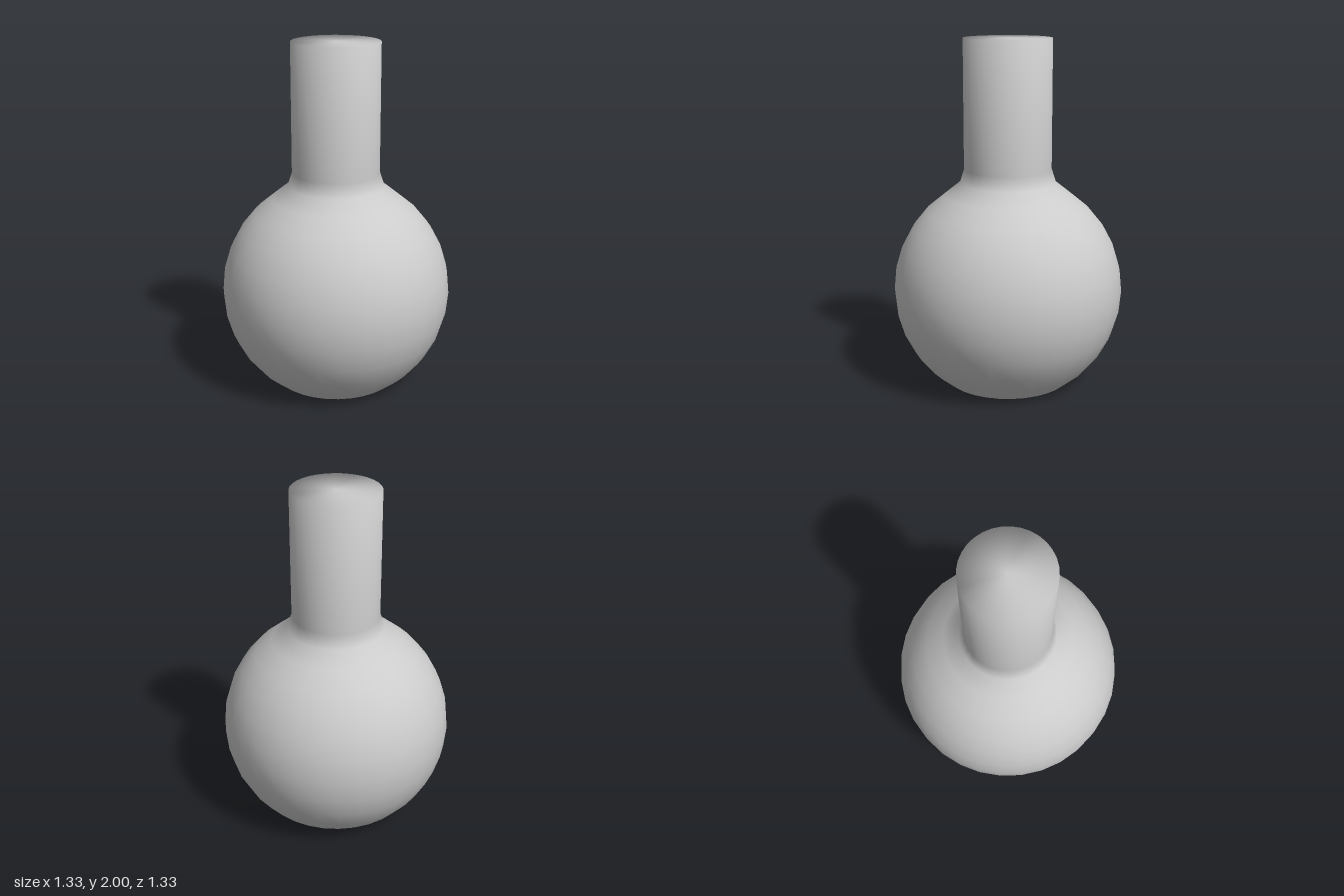
import * as THREE from 'three';

const SIDES = 32;
const RADIUS = 0.665;   // bulb radius
const CENTER_Y = 0.553; // bulb centre height
const NECK = 0.252;     // neck radius

export function createModel() {
  const group = new THREE.Group();
  group.name = 'roundFlask';
  const material = new THREE.MeshStandardMaterial({ color: 0xcccccc });

  // Bulb: rings of a sphere, cut flat at the bottom and open to the neck
  const profile = [];
  for (let ring = 13; ring >= 3; ring--) {
    const a = (ring * Math.PI) / 16;
    profile.push(new THREE.Vector2(RADIUS * Math.sin(a), CENTER_Y + RADIUS * Math.cos(a)));
  }
  profile[0].y = 0;

  // Flared shoulder, straight neck and softly shaded closed top
  profile.push(
    new THREE.Vector2(0.277, 1.18),
    new THREE.Vector2(NECK, 1.258),
    new THREE.Vector2(NECK, 2),
    new THREE.Vector2(0, 2)
  );
  const body = new THREE.Mesh(new THREE.LatheGeometry(profile, SIDES), material);
  body.name = 'bulbAndNeck';
  group.add(body);

  // Flat base disc, facing down with a sharp rim
  const base = new THREE.Mesh(new THREE.CircleGeometry(profile[0].x, SIDES), material);
  base.rotation.x = Math.PI / 2;
  base.name = 'base';
  group.add(base);

  return group;
}
